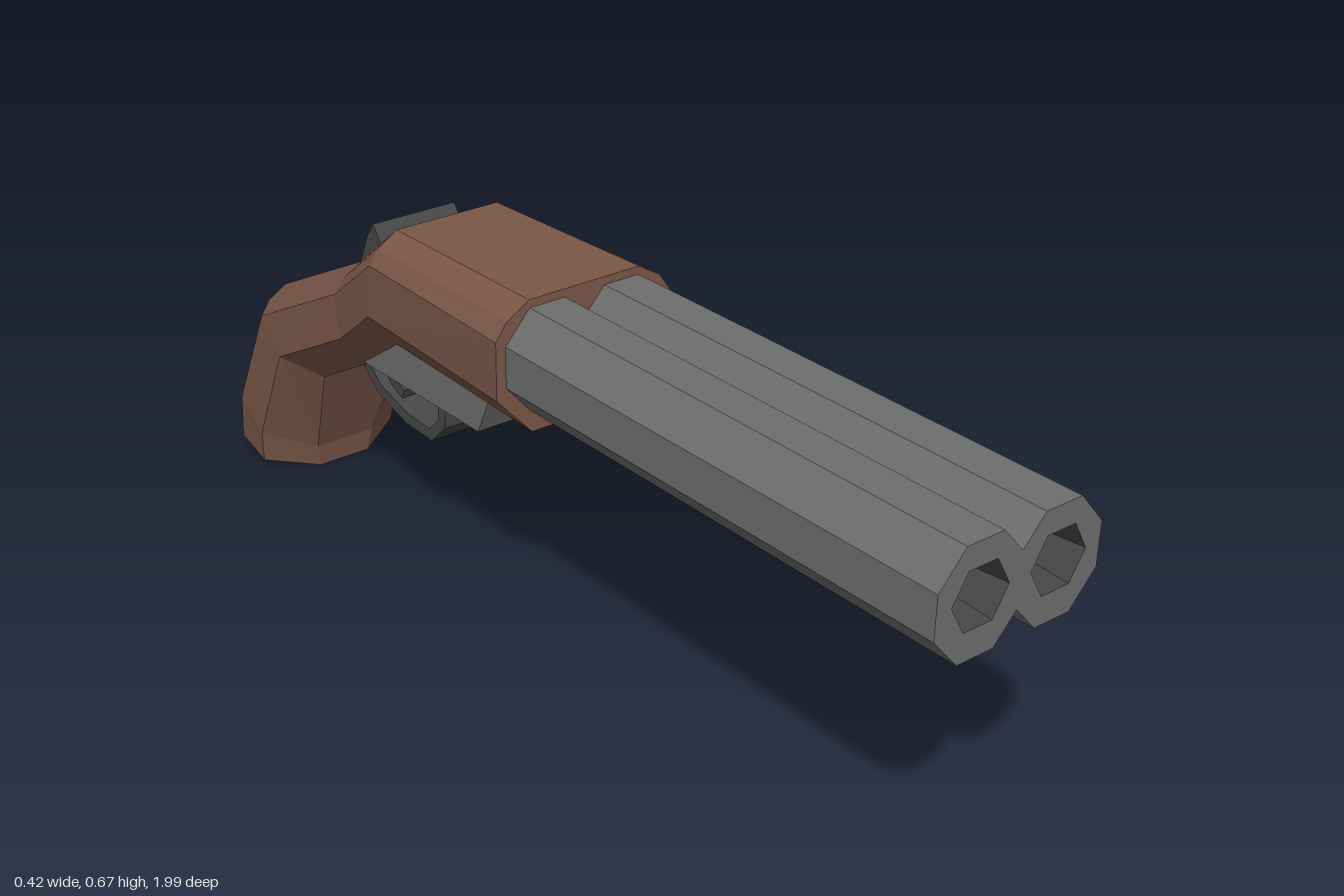
import * as THREE from 'three';

const flat = (name, color) => {
  const m = new THREE.MeshStandardMaterial({ color });
  m.name = name;
  m.flatShading = true;
  return m;
};

export function createModel() {
  const wood = flat('wood', 0x7a5747);
  const steel = flat('steel', 0x6e6e6e);
  const darkSteel = flat('dark steel', 0x474747);
  const root = new THREE.Group();
  root.name = 'shortShotgun';

  const add = (name, geo, mat) => {
    const mesh = new THREE.Mesh(geo, mat);
    mesh.name = name;
    root.add(mesh);
    return mesh;
  };
  const toShape = (pts) => new THREE.Shape(pts.map(([a, b]) => new THREE.Vector2(a, b)));

  // Side profile given as [z, y], extruded across x
  const slab = (pts, half) => {
    const g = new THREE.ExtrudeGeometry(toShape(pts), { depth: half * 2, bevelEnabled: false });
    return g.translate(0, 0, -half).rotateY(-Math.PI / 2);
  };

  // Bent strip: a [z, y] path thickened into a profile
  const strip = (path, thick, half) => {
    const side = (s) => path.map(([z, y], i) => {
      const p = path[Math.max(i - 1, 0)], n = path[Math.min(i + 1, path.length - 1)];
      const dz = n[0] - p[0], dy = n[1] - p[1], l = Math.hypot(dz, dy);
      return [z - s * dy / l * thick / 2, y + s * dz / l * thick / 2];
    });
    return slab([...side(1), ...side(-1).reverse()], half);
  };

  // Joined pair of octagonal barrels with hexagonal bores
  const cy = 0.565, cx = 0.0785, muzzle = 0.992, bore = 0.057;
  const quarter = [[0, 0.048], [0.042, 0.095], [0.115, 0.095], [0.165, 0.038]];
  const right = [...quarter, ...quarter.slice().reverse().map(([x, y]) => [x, -y])];
  const left = right.slice(1, -1).reverse().map(([x, y]) => [-x, y]);
  const outline = toShape([...right, ...left].map(([x, y]) => [x, y + cy]));
  for (const s of [-1, 1]) {
    const hole = new THREE.Path();
    for (let i = 0; i < 6; i++) {
      const a = i * Math.PI / 3;
      const x = s * cx + Math.cos(a) * bore, y = cy + 0.004 + Math.sin(a) * bore;
      if (i) hole.lineTo(x, y); else hole.moveTo(x, y);
    }
    hole.closePath();
    outline.holes.push(hole);
  }
  add('barrels', new THREE.ExtrudeGeometry(outline, { depth: muzzle + 0.08, bevelEnabled: false })
    .translate(0, 0, -0.08), steel);

  // Tapered bore linings and their floors
  const lining = darkSteel.clone();
  lining.side = THREE.DoubleSide;
  const depth = 0.12;
  for (const s of [-1, 1]) {
    const wall = new THREE.CylinderGeometry(bore, 0.041, depth, 6, 1, true, Math.PI / 6);
    wall.rotateX(Math.PI / 2).translate(s * cx, cy + 0.004, muzzle - depth / 2);
    add('boreWall', wall, lining);
    const floor = new THREE.CircleGeometry(0.041, 6).translate(s * cx, cy + 0.004, muzzle - depth);
    add('boreFloor', floor, lining);
  }

  // Stock: sections of [lower z, y, upper z, y, half width, lower and upper width fraction]
  const sections = [
    [0.01, 0.43, 0.01, 0.675, 0.185, 0.61, 0.63],
    [-0.425, 0.43, -0.395, 0.667, 0.166, 0.61, 0.66],
    [-0.53, 0.35, -0.55, 0.55, 0.155, 0.6, 0.6],
    [-0.715, 0.247, -0.85, 0.4, 0.162, 0.55, 0.53],
    [-0.798, 0.05, -0.965, 0.175, 0.163, 0.4, 0.45],
    [-0.805, 0.002, -0.992, 0.058, 0.155, 0.37, 0.42],
  ];
  const rings = sections.map(([z0, y0, z1, y1, w, f0, f1]) => {
    const half = [[f0, 0], [1, 0.32], [1, 0.76], [(1 + f1) / 2 + 0.06, 0.89], [f1, 1]];
    const loop = [...half, ...half.slice().reverse().map(([x, t]) => [-x, t])];
    return loop.map(([x, t]) => [x * w, y0 + (y1 - y0) * t, z0 + (z1 - z0) * t]);
  });
  const verts = [];
  const tri = (...pts) => pts.forEach((p) => verts.push(...p));
  const centre = (r) => [0, 1, 2].map((k) => r.reduce((sum, p) => sum + p[k], 0) / r.length);
  const count = rings[0].length, first = rings[0], last = rings[rings.length - 1];
  for (let j = 0; j < count; j++) {
    const k = (j + 1) % count;
    for (let i = 0; i < rings.length - 1; i++) {
      const a = rings[i], b = rings[i + 1];
      tri(a[j], b[j], b[k]);
      tri(a[j], b[k], a[k]);
    }
    tri(centre(first), first[j], first[k]);
    tri(centre(last), last[k], last[j]);
  }
  const stock = new THREE.BufferGeometry();
  stock.setAttribute('position', new THREE.Float32BufferAttribute(verts, 3));
  stock.computeVertexNormals();
  add('stock', stock, wood);

  // Receiver plate under the stock
  add('receiver', slab([[-0.125, 0.45], [-0.17, 0.352], [-0.54, 0.348], [-0.5, 0.45]], 0.1), steel);

  // Hammer on top, behind the barrels
  add('hammer', slab([[-0.48, 0.605], [-0.505, 0.638], [-0.53, 0.602], [-0.558, 0.54], [-0.5, 0.53]], 0.09), darkSteel);

  // Trigger guard and trigger
  add('triggerGuard', strip([[-0.352, 0.36], [-0.358, 0.275], [-0.395, 0.239], [-0.475, 0.241],
    [-0.57, 0.268], [-0.625, 0.315]], 0.024, 0.053), darkSteel);
  add('trigger', strip([[-0.545, 0.365], [-0.54, 0.325], [-0.52, 0.303], [-0.485, 0.288]], 0.022, 0.053), darkSteel);

  // The whole piece sits turned slightly about the vertical
  root.rotation.y = -0.046;
  root.position.x = -0.002;
  const model = new THREE.Group();
  model.name = 'model';
  model.add(root);
  return model;
}
